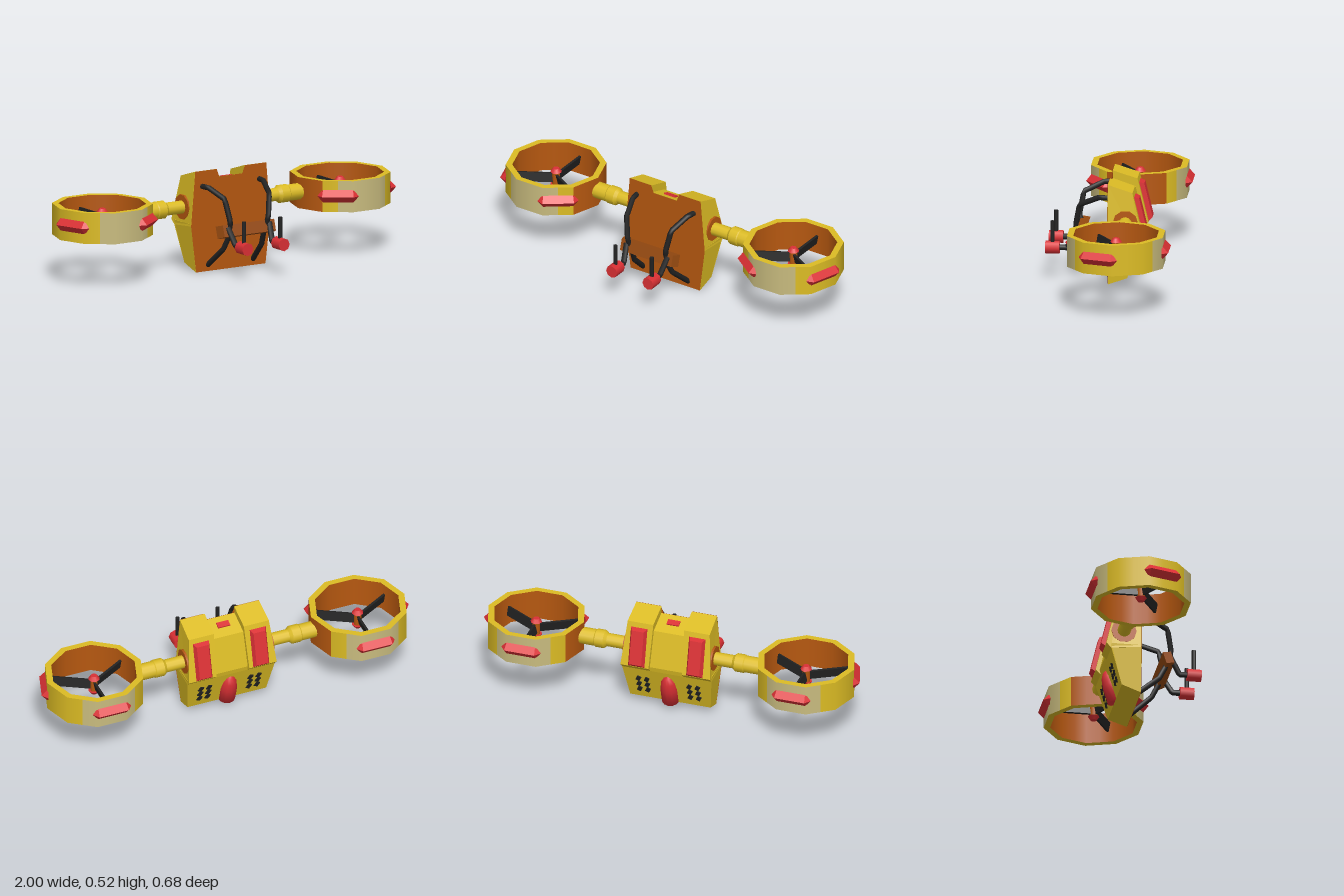
import * as THREE from 'three';
import { ConvexGeometry } from 'three/addons/geometries/ConvexGeometry.js';

const V = (x, y, z) => new THREE.Vector3(x, y, z);
const rad = THREE.MathUtils.degToRad;

function paint(name, color, side = THREE.FrontSide) {
  const m = new THREE.MeshStandardMaterial({ color, side });
  m.name = name;
  return m;
}

export function createModel() {
  const yellow = paint('yellow', 0xdcbc24);
  const pale = paint('paleYellow', 0xc8bb7e);
  const orange = paint('burntOrange', 0xb65810, THREE.DoubleSide);
  const brown = paint('brown', 0x964a10);
  const red = paint('red', 0xda3034);
  const black = paint('black', 0x222222);

  const model = new THREE.Group();
  model.name = 'fanPack';
  function add(name, geo, mat, parent = model) {
    const m = new THREE.Mesh(geo, mat);
    m.name = name;
    parent.add(m);
    return m;
  }
  // Tube of straight lengths through the given points
  function tube(name, pts, r) {
    const path = new THREE.CurvePath();
    for (let i = 1; i < pts.length; i++) path.add(new THREE.LineCurve3(pts[i - 1], pts[i]));
    return add(name, new THREE.TubeGeometry(path, 28, r, 8), black);
  }

  // Body slabs: side profile [z, y] swept across x, narrowing above and below the waist
  function slab(name, profile, x0, x1) {
    const shape = new THREE.Shape(profile.map(([z, y]) => new THREE.Vector2(-z, y)));
    const geo = new THREE.ExtrudeGeometry(shape, { depth: x1 - x0, bevelEnabled: false });
    geo.translate(0, 0, x0).rotateY(Math.PI / 2);
    const p = geo.attributes.position;
    for (let i = 0; i < p.count; i++) {
      const d = p.getY(i) - 0.24;
      p.setX(i, p.getX(i) * (1 - (d < 0 ? -0.52 * d : 0.37 * d)));
    }
    geo.computeVertexNormals();
    return add(name, geo, yellow);
  }
  slab('lowerBody', [[0.015, 0], [0.015, 0.25], [-0.14, 0.25], [-0.14, 0.225], [-0.083, 0.035]], -0.24, 0.24);
  slab('middleBody', [[0.015, 0.24], [0.015, 0.48], [-0.1, 0.44], [-0.145, 0.25], [-0.14, 0.225]], -0.1, 0.1);
  const pod = [[0.015, 0.24], [0.015, 0.52], [-0.11, 0.48], [-0.165, 0.25], [-0.14, 0.225]];
  slab('leftPod', pod, 0.09, 0.24);
  slab('rightPod', pod, -0.24, -0.09);

  // Back plate facing the wearer, with a notch at the neck
  const half = [[0.07, 0.48], [0.085, 0.52], [0.215, 0.52], [0.24, 0.24], [0.21, 0]];
  const outline = [...half, ...half.map(([x, y]) => [-x, y]).reverse()];
  const plate = new THREE.Shape(outline.map(([x, y]) => new THREE.Vector2(x, y)));
  add('backPlate', new THREE.ShapeGeometry(plate), orange).position.z = 0.017;

  // Red light on the middle of the top
  const light = add('topLight', new THREE.BoxGeometry(0.065, 0.009, 0.032), red);
  light.position.set(0, 0.465, -0.035);
  light.rotation.x = -0.33;

  // Raised block that narrows from its base to its top
  function frustum(w, h, w2, h2, d) {
    const pts = [];
    for (const a of [-1, 1]) for (const b of [-1, 1]) {
      pts.push(V(a * w / 2, b * h / 2, 0), V(a * w2 / 2, b * h2 / 2, d));
    }
    return new ConvexGeometry(pts);
  }

  // Exhaust lying on the lower back, domed at the top
  const slope = Math.atan2(0.057, 0.19);
  const back = new THREE.Group();
  back.name = 'lowerBack';
  back.position.set(0, 0.035, -0.083);
  back.rotation.x = -slope;
  model.add(back);
  const dome = [[0, 0], [0.046, 0], [0.046, 0.09], [0.038, 0.135], [0.022, 0.165], [0, 0.18]];
  const exhaust = add('exhaust', new THREE.LatheGeometry(dome.map(([r, y]) => new THREE.Vector2(r, y)), 12), red, back);
  exhaust.position.z = 0.008;
  // Slanted vents beside the exhaust
  for (const s of [-1, 1]) for (const col of [-1, 1]) for (let row = 0; row < 3; row++) {
    const vent = add('vent', new THREE.BoxGeometry(0.022, 0.03, 0.008), black, back);
    vent.position.set(s * 0.135 + col * 0.022, 0.055 + row * 0.038, -0.001);
    vent.rotation.z = 0.45;
  }

  // Ridged red marker, pointed at both ends, facing +z
  const marker = new ConvexGeometry([
    V(-0.105, 0, 0), V(0.105, 0, 0), V(-0.08, 0, 0.033), V(0.08, 0, 0.033),
    V(-0.075, 0.037, 0), V(0.075, 0.037, 0), V(-0.075, -0.037, 0), V(0.075, -0.037, 0),
  ]);

  // Arc of a ten-sided wall; points at the middle of a side are pulled in to lie flat
  function wall(r, from, to) {
    const geo = new THREE.CylinderGeometry(r, r, 0.16, (to - from) / 18, 1, true, rad(from), rad(to - from));
    const p = geo.attributes.position;
    for (let i = 0; i < p.count; i++) {
      const k = Math.round(Math.atan2(p.getX(i), p.getZ(i)) / rad(18));
      const f = k % 2 === 0 ? Math.cos(rad(18)) : 1;
      p.setX(i, p.getX(i) * f);
      p.setZ(i, p.getZ(i) * f);
    }
    return geo;
  }
  const arcs = [[-36, 36, pale], [36, 144, yellow], [144, 216, pale],
    [216, 234, yellow], [234, 306, orange], [306, 324, yellow]];

  for (const s of [-1, 1]) {
    const side = s > 0 ? 'left' : 'right';

    // Ducted fan
    const fan = new THREE.Group();
    fan.name = side + 'Fan';
    fan.position.set(s * 0.72, 0.32, -0.07);
    model.add(fan);
    const duct = new THREE.Group();
    duct.name = 'duct';
    duct.rotation.y = s > 0 ? 0 : Math.PI;
    fan.add(duct);
    for (const [a, b, mat] of arcs) add('ductOuter', wall(0.255, a, b), mat, duct);
    add('ductInner', wall(0.222, 0, 360), orange, duct);
    for (const t of [-1, 1]) {
      const rim = add('ductRim', new THREE.RingGeometry(0.222, 0.255, 10), yellow, duct);
      rim.rotation.x = -t * Math.PI / 2;
      rim.position.y = t * 0.08;
    }
    for (const phi of [-90, 18, 126]) {
      const a = rad(s > 0 ? phi : 180 - phi);
      const m = add('ductMarker', marker, red, fan);
      m.position.set(Math.cos(a) * 0.238, 0.002, Math.sin(a) * 0.238);
      m.rotation.y = Math.PI / 2 - a;
    }

    // Hub and three blades
    add('hub', new THREE.CylinderGeometry(0.02, 0.02, 0.09, 8), orange, fan);
    for (const t of [-1, 1]) {
      const cap = add('hubCap', new THREE.CylinderGeometry(t > 0 ? 0.016 : 0.03, t > 0 ? 0.03 : 0.016, 0.02, 8), red, fan);
      cap.position.y = t * 0.045;
    }
    for (const phi of [-90, 30, 150]) {
      const arm = new THREE.Group();
      arm.name = 'blade';
      arm.rotation.y = -rad(phi);
      fan.add(arm);
      const blade = add('bladePlate', new THREE.BoxGeometry(0.2, 0.05, 0.012), black, arm);
      blade.position.x = 0.115;
      blade.rotation.x = 0.2;
    }

    // Stepped arm from body to fan, with its socket
    const prof = [[0.034, 0.2], [0.034, 0.335], [0.047, 0.35], [0.047, 0.395], [0.043, 0.4], [0.043, 0.48]];
    const steps = [];
    for (let i = 1; i < prof.length; i++) {
      const [r0, a] = prof[i - 1], [r1, b] = prof[i];
      steps.push(new THREE.CylinderGeometry(r1, r0, b - a, 12).translate(0, (a + b) / 2, 0));
    }
    steps.push(new THREE.CylinderGeometry(0.065, 0.065, 0.04, 10).translate(0, 0.217, 0));
    steps.forEach((g, i) => {
      const m = add(i < 5 ? side + 'Arm' : side + 'Socket', g, i < 5 ? yellow : orange);
      m.rotation.z = -s * Math.PI / 2;
      m.position.set(0, 0.325, -0.075);
    });

    // Red panel on the back of each pod
    const panel = add(side + 'PodPanel', frustum(0.09, 0.21, 0.065, 0.18, 0.025), red);
    panel.position.set(s * 0.155, 0.352, -0.138);
    panel.rotation.set(Math.atan2(0.055, 0.23), Math.PI, 0);

    // Shoulder strap
    tube(side + 'Strap', [V(s * 0.175, 0.44, 0), V(s * 0.165, 0.44, 0.065), V(s * 0.135, 0.395, 0.165),
      V(s * 0.115, 0.28, 0.187), V(s * 0.105, 0.2, 0.16), V(s * 0.115, 0.13, 0.125), V(s * 0.137, 0.03, 0.012)], 0.014);

    // Hand control: bent tube, red grip block and upright stick
    tube(side + 'ControlTube', [V(s * 0.125, 0.25, 0.18), V(s * 0.11, 0.162, 0.23), V(s * 0.11, 0.162, 0.28)], 0.015);
    const grip = add(side + 'Grip', new THREE.CylinderGeometry(0.033, 0.033, 0.072, 8), red);
    grip.rotation.x = Math.PI / 2;
    grip.position.set(s * 0.11, 0.162, 0.304);
    const stick = add(side + 'Stick', new THREE.CylinderGeometry(0.011, 0.011, 0.12, 8), black);
    stick.position.set(s * 0.11, 0.24, 0.304);
  }

  // Chest bar joining the straps
  const bar = add('chestBar', frustum(0.34, 0.065, 0.31, 0.06, 0.045), brown);
  bar.position.set(0, 0.222, 0.145);
  bar.rotation.x = -0.3;

  return model;
}
